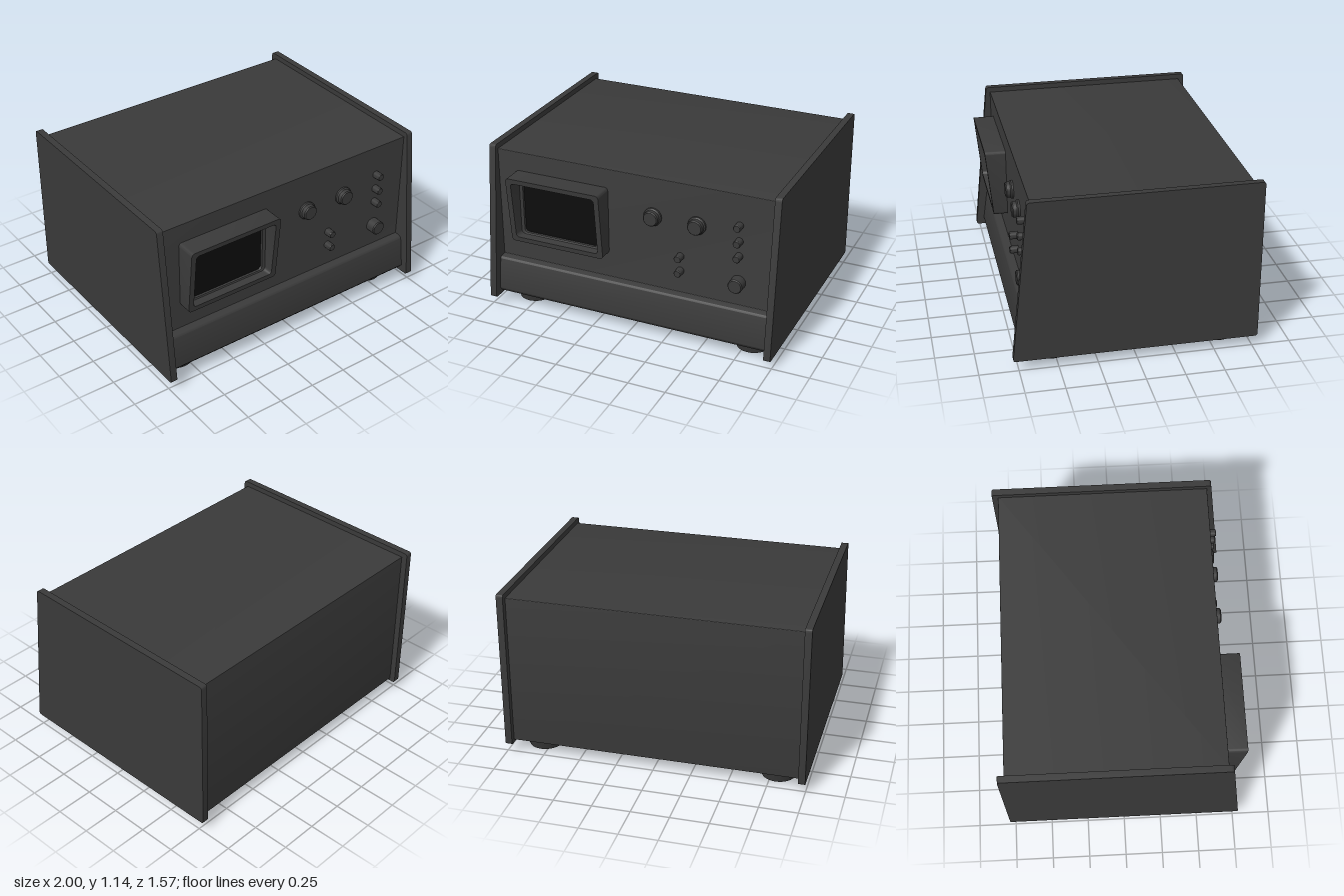
import * as THREE from 'three';
import { toCreasedNormals } from 'three/addons/utils/BufferGeometryUtils.js';

const caseMat = new THREE.MeshStandardMaterial({ color: 0x3a3a3a });
const screenMat = new THREE.MeshStandardMaterial({ color: 0x0c0c0c });

function add(parent, name, geometry, material = caseMat) {
  const mesh = new THREE.Mesh(geometry, material);
  mesh.name = name;
  parent.add(mesh);
  return mesh;
}

// Extrudes a [z, y] side profile along x, centred on x = cx, with rounded corners
function sideProfile(points, width, cx, radius) {
  const shape = new THREE.Shape();
  const pts = points.map(p => new THREE.Vector2(...p));
  pts.forEach((p, i) => {
    const prev = pts[(i + pts.length - 1) % pts.length], next = pts[(i + 1) % pts.length];
    const a = p.clone().add(prev.clone().sub(p).setLength(radius));
    const b = p.clone().add(next.clone().sub(p).setLength(radius));
    if (i === 0) shape.moveTo(a.x, a.y); else shape.lineTo(a.x, a.y);
    shape.quadraticCurveTo(p.x, p.y, b.x, b.y);
  });
  const geo = new THREE.ExtrudeGeometry(shape, { depth: width, bevelEnabled: false, curveSegments: 4 });
  geo.rotateY(-Math.PI / 2).translate(cx + width / 2, 0, 0);
  return toCreasedNormals(geo, 0.5);
}

// Counter-clockwise rounded rectangle
function roundedLoop(hw, hh, r, seg = 5) {
  const pts = [];
  [[1, 1], [-1, 1], [-1, -1], [1, -1]].forEach(([sx, sy], q) => {
    for (let i = 0; i <= seg; i++) {
      const a = (q + i / seg) * Math.PI / 2;
      pts.push([sx * (hw - r) + r * Math.cos(a), sy * (hh - r) + r * Math.sin(a)]);
    }
  });
  return pts;
}

// Skins a list of loops; each is { hw, hh, r, z(y) }
function loft(loops, cx, cy) {
  const pos = [], index = [];
  const n = 24;
  loops.forEach(l => roundedLoop(l.hw, l.hh, l.r).forEach(([x, y]) => pos.push(cx + x, cy + y, l.z(cy + y))));
  for (let k = 0; k < loops.length - 1; k++) {
    for (let i = 0; i < n; i++) {
      const a = k * n + i, b = k * n + (i + 1) % n;
      index.push(a, b, b + n, a, b + n, a + n);
    }
  }
  const geo = new THREE.BufferGeometry();
  geo.setAttribute('position', new THREE.Float32BufferAttribute(pos, 3));
  geo.setIndex(index);
  return toCreasedNormals(geo, 0.5);
}

// Turned part standing out of the front panel; profile of [radius, height]
function turned(parent, name, profile, x, y) {
  const geo = new THREE.LatheGeometry(profile.map(p => new THREE.Vector2(...p)), 32);
  const mesh = add(parent, name, toCreasedNormals(geo, 0.5));
  mesh.rotation.x = Math.PI / 2;
  mesh.position.set(x, y, PANEL_Z);
}

const PANEL_Z = 0.645;

export function createModel() {
  const model = new THREE.Group();

  // Case: upright control panel above a protruding lower front
  add(model, 'caseBody', sideProfile([
    [-0.745, 0.085], [0.705, 0.085], [0.73, 0.115], [0.7, 0.325],
    [0.69, 0.337], [PANEL_Z, 0.342], [PANEL_Z, 1.105], [-0.745, 1.105],
  ], 1.92, 0, 0.003));

  // Side plates with a sloping front edge
  for (const s of [1, -1]) {
    add(model, s > 0 ? 'leftSidePlate' : 'rightSidePlate', sideProfile(
      [[-0.785, 0.065], [0.785, 0.065], [0.672, 1.14], [-0.785, 1.14]], 0.045, s * 0.9775, 0.018));
  }

  // Screen hood, its front leaning outward at the top
  const cx = -0.4975, cy = 0.743;
  const front = y => 0.738 + 0.101 * (y - 0.51);
  const screenZ = 0.672;
  add(model, 'screenBezel', loft([
    { hw: 0.332, hh: 0.233, r: 0.022, z: () => PANEL_Z - 0.005 },
    { hw: 0.332, hh: 0.233, r: 0.022, z: front },
    { hw: 0.297, hh: 0.2, r: 0.022, z: front },
    { hw: 0.285, hh: 0.195, r: 0.025, z: () => 0.69 },
    { hw: 0.265, hh: 0.186, r: 0.025, z: () => 0.685 },
    { hw: 0.262, hh: 0.183, r: 0.025, z: () => screenZ - 0.002 },
  ], cx, cy));
  const glass = new THREE.Shape(roundedLoop(0.265, 0.186, 0.025).map(p => new THREE.Vector2(...p)));
  add(model, 'screen', new THREE.ShapeGeometry(glass), screenMat).position.set(cx, cy, screenZ);

  // Rotary knobs
  const knob = [[0.06, 0], [0.06, 0.012], [0.052, 0.02], [0.05, 0.043], [0.044, 0.05], [0, 0.05]];
  for (const x of [0.147, 0.447]) turned(model, 'knob', knob, x, 0.84);

  // Small push buttons
  const button = [[0.025, 0], [0.025, 0.05], [0.021, 0.056], [0, 0.056]];
  for (const [x, y] of [[0.727, 0.898], [0.727, 0.79], [0.727, 0.687], [0.335, 0.6], [0.335, 0.497]]) {
    turned(model, 'pushButton', button, x, y);
  }

  // Power button
  turned(model, 'powerButton', [[0.048, 0], [0.048, 0.063], [0.042, 0.07], [0, 0.07]], 0.727, 0.503);

  // Tapered feet
  for (const x of [0.795, -0.795]) {
    for (const z of [0.522, -0.57]) {
      add(model, 'foot', new THREE.CylinderGeometry(0.134, 0.11, 0.088, 32)).position.set(x, 0.044, z);
    }
  }

  return model;
}
